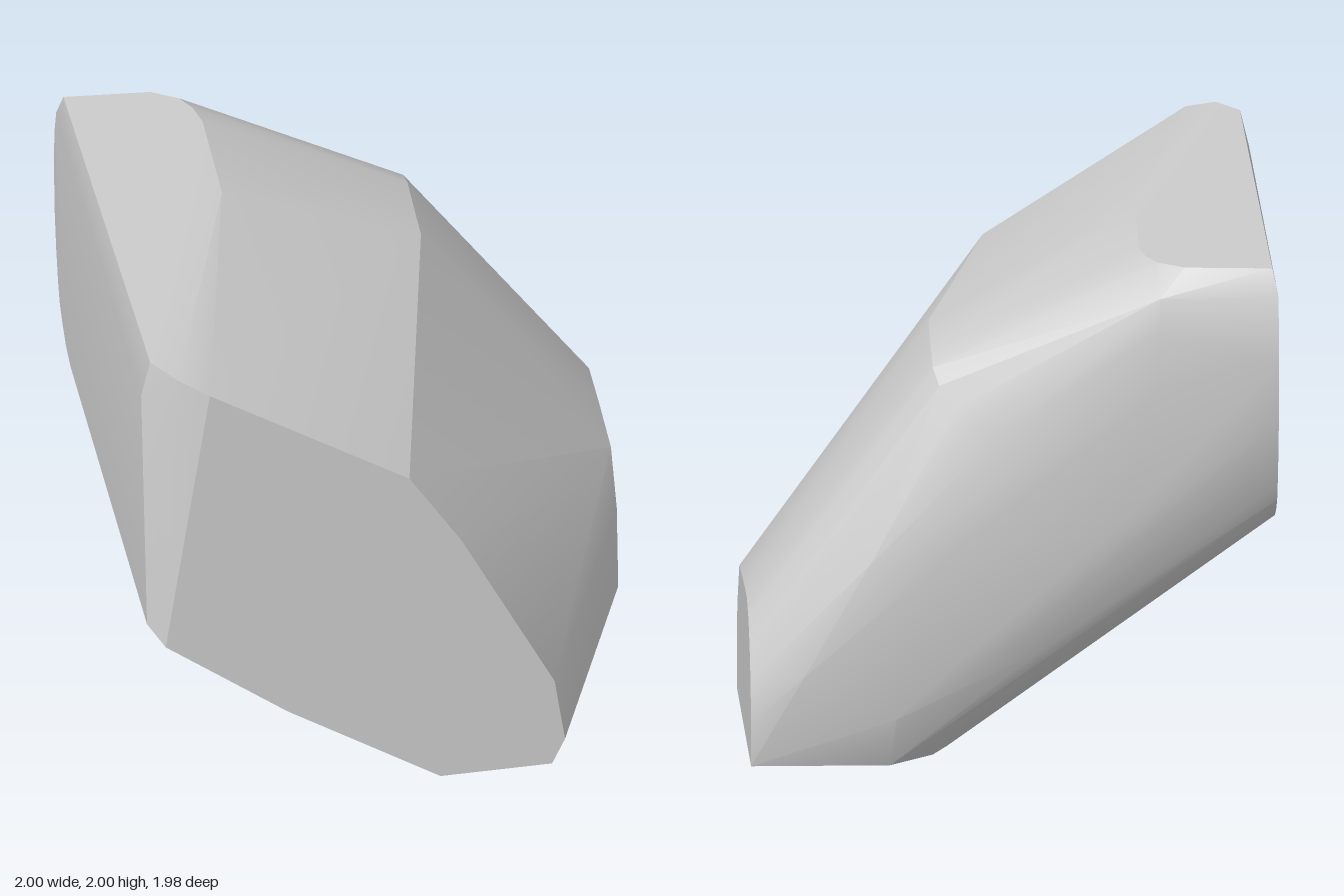
import * as THREE from 'three';
import { ConvexGeometry } from 'three/addons/geometries/ConvexGeometry.js';
import { toCreasedNormals } from 'three/addons/utils/BufferGeometryUtils.js';

// Cross-sections [z, [x, y]...] from the flat front to the rounded back
const sections = [
  // flat front facet
  [0.985, [-0.94, 0.78], [-0.47, 0.41], [0.12, 0.02], [0.55, 0.02], [0.6, 0.13],
    [0.56, 0.41], [0.2, 1.13], [0, 1.45], [-0.77, 1.95]],
  // chamfered front left corner
  [0.92, [-1, 0.85], [-0.88, 1.99], [0.2, 0]],
  [0.8, [-0.965, 2], [-1, 1.85]],
  // start of the side facet and of the two top ridges
  [-0.05, [1, 0.03]],
  [-0.08, [1, 0.38]],
  [-0.2, [1, 0.58], [-0.5, 2]],
  [-0.32, [0.29, 1.6]],
  [-0.45, [1, 0.61]],
  // full outline, where the back rounding begins
  [-0.65, [1, 0.62], [0.3, 1.6], [-0.49, 2], [-1, 0.91], [0.24, 0]],
  [-0.74, [1, 0.57], [0.3, 1.57], [-0.51, 2], [-1, 0.94], [0.3, 0]],
  [-0.81, [1, 0.49], [0.28, 1.52], [-0.55, 2], [-1, 0.99], [0.38, 0.01]],
  [-0.87, [1, 0.36], [0.22, 1.45], [-0.65, 2], [-1, 1.05], [0.47, 0.01]],
  [-0.9, [1, 0.03], [1, 0.2], [0.16, 1.41], [-0.98, 2], [-1, 1.12], [-0.1, 0.47]],
  // gently bulged back
  [-0.94, [0.05, 1.37], [0.55, 0.85], [0.8, 0.4], [-0.55, 1.9], [-1, 1.9],
    [-1, 1.25], [-0.5, 0.93], [0, 0.53], [0.45, 0.22]],
  [-0.97, [-0.05, 1.25], [0.3, 0.85], [-0.55, 1.77], [-1, 1.8], [-1, 1.4], [-0.4, 1]],
  [-0.99, [-1, 1.65], [-0.55, 1.55]],
];

export function createModel() {
  const group = new THREE.Group();
  const points = sections.flatMap(([z, ...outline]) =>
    outline.map(([x, y]) => new THREE.Vector3(x, y, z)));

  // One solid block, smooth over the rounding and sharp at the cut facets
  const geometry = toCreasedNormals(new ConvexGeometry(points), 0.35);
  const block = new THREE.Mesh(geometry, new THREE.MeshStandardMaterial({ color: 0xcccccc }));
  block.name = 'facetedBlock';
  group.add(block);
  return group;
}
